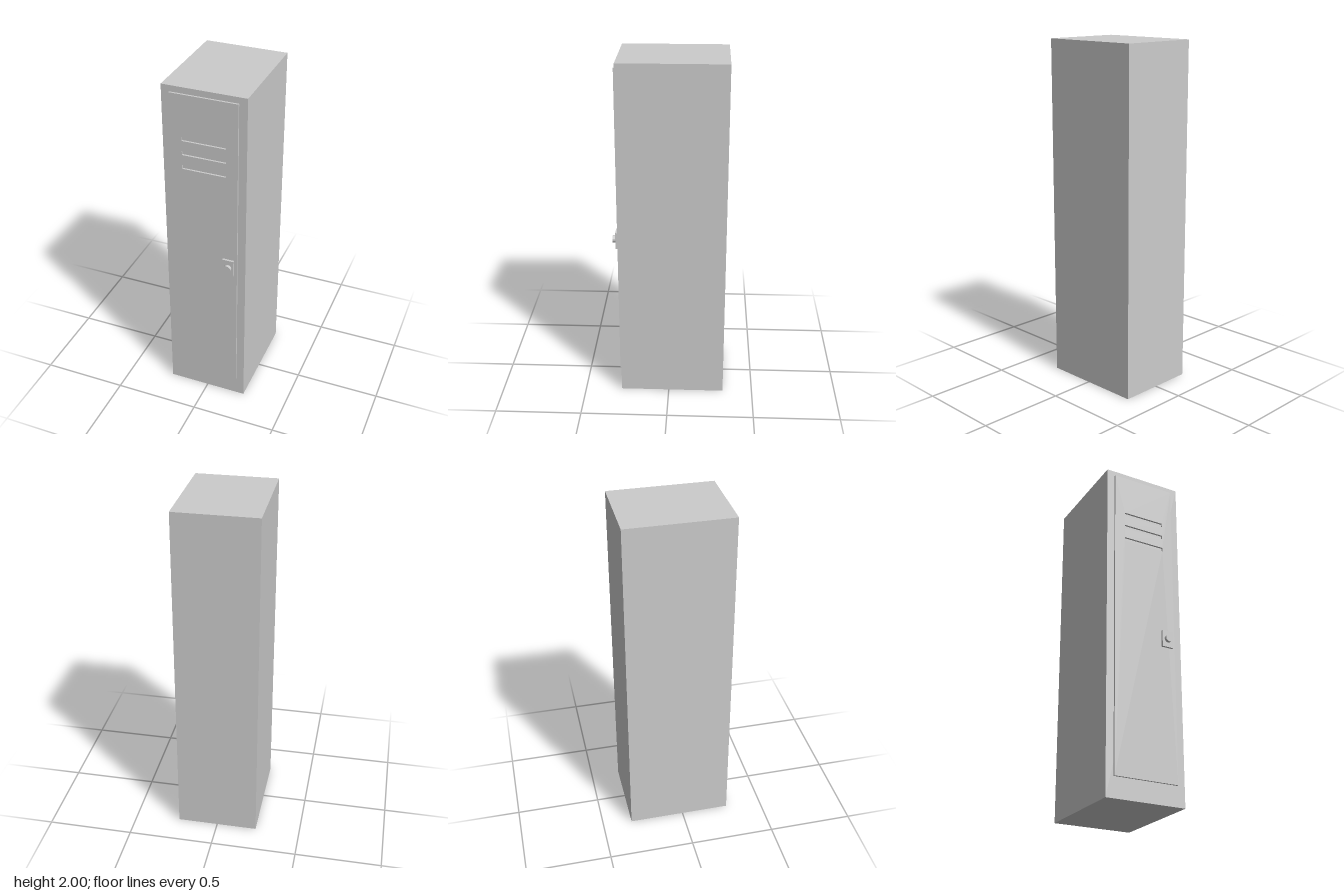
import * as THREE from 'three';

const material = new THREE.MeshStandardMaterial({ color: 0xcccccc, flatShading: true });

function addPart(group, name, geometry, x, y, z) {
  const mesh = new THREE.Mesh(geometry, material);
  mesh.name = name;
  mesh.position.set(x, y, z);
  group.add(mesh);
  return mesh;
}

// Rectangle outline centred on (x, y)
function rectangle(PathType, x, y, w, h) {
  return new PathType([
    new THREE.Vector2(x - w / 2, y - h / 2),
    new THREE.Vector2(x + w / 2, y - h / 2),
    new THREE.Vector2(x + w / 2, y + h / 2),
    new THREE.Vector2(x - w / 2, y + h / 2),
  ]);
}

export function createModel() {
  const locker = new THREE.Group();
  locker.name = 'locker';
  const front = 0.284, doorFace = 0.295, plateFace = 0.308, knobFace = 0.325;

  // Cabinet
  addPart(locker, 'cabinet', new THREE.BoxGeometry(0.474, 2, front + 0.325), 0, 1, (front - 0.325) / 2);

  // Door panel with three vent slots
  const outline = rectangle(THREE.Shape, 0, 1.041, 0.382, 1.848);
  for (let i = 0; i < 3; i++) {
    outline.holes.push(rectangle(THREE.Path, 0, 1.71 - i * 0.084, 0.25, 0.023));
  }
  const door = new THREE.ExtrudeGeometry(outline, { depth: doorFace - front, bevelEnabled: false });
  addPart(locker, 'door', door, 0, 0, front);

  // Latch: back plate and round knob
  const latch = new THREE.Group();
  latch.name = 'latch';
  latch.position.set(0.14, 0.955, 0);
  locker.add(latch);
  const plate = new THREE.BoxGeometry(0.068, 0.1, plateFace - doorFace);
  addPart(latch, 'latchPlate', plate, 0, 0, (doorFace + plateFace) / 2);
  const knob = new THREE.CylinderGeometry(0.022, 0.022, knobFace - plateFace, 16).rotateX(Math.PI / 2);
  addPart(latch, 'latchKnob', knob, 0.001, 0, (plateFace + knobFace) / 2);

  return locker;
}
